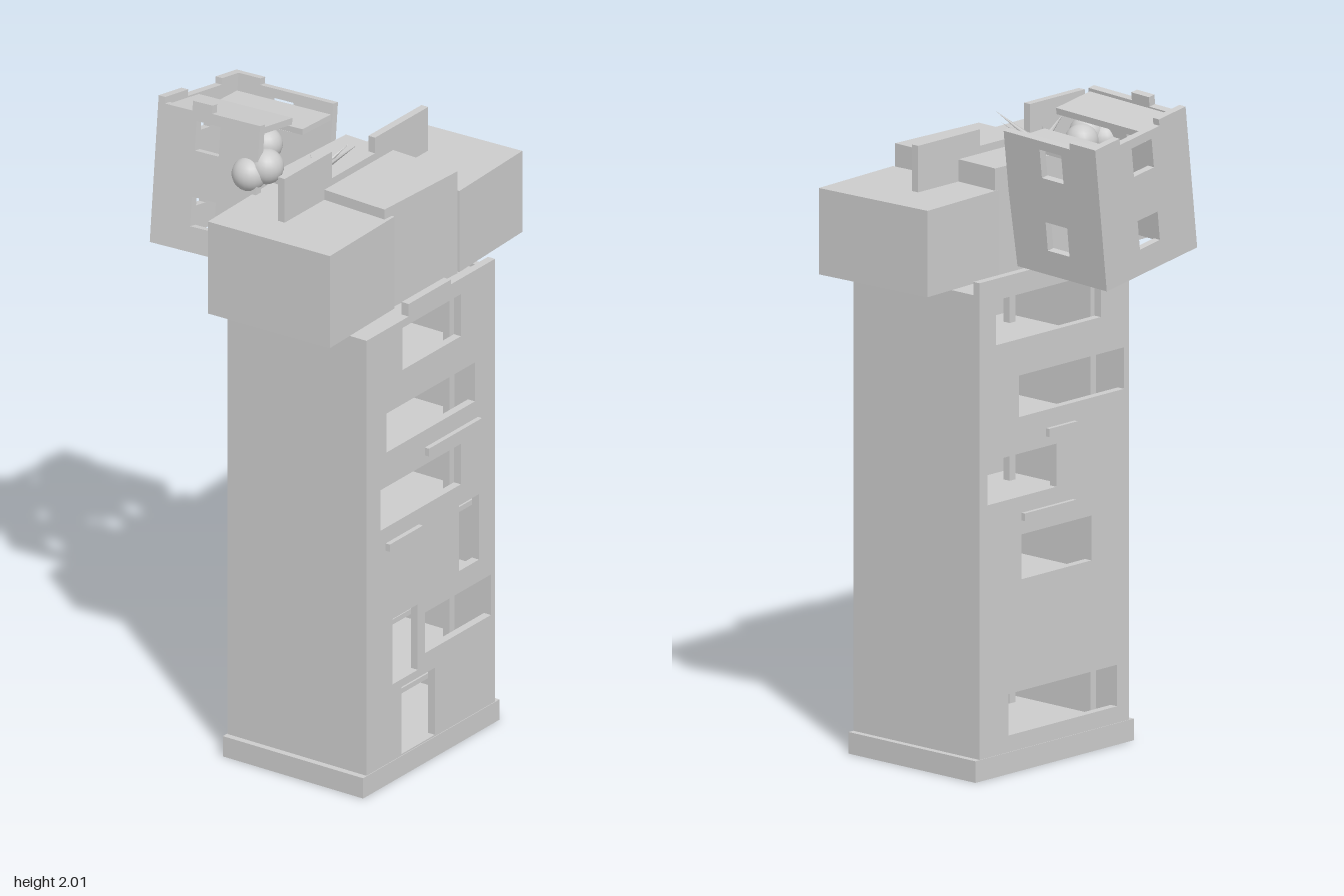
import * as THREE from 'three';

export function createModel() {
  const model = new THREE.Group();
  const grey = new THREE.MeshStandardMaterial({ color: 0xcccccc });
  grey.name = 'plain grey';

  const add = (parent, name, geometry) => {
    const mesh = new THREE.Mesh(geometry, grey);
    mesh.name = name;
    parent.add(mesh);
    return mesh;
  };
  // Box given by its limits on each axis
  const box = (parent, name, x0, x1, y0, y1, z0, z1) => {
    const mesh = add(parent, name, new THREE.BoxGeometry(x1 - x0, y1 - y0, z1 - z0));
    mesh.position.set((x0 + x1) / 2, (y0 + y1) / 2, (z0 + z1) / 2);
    return mesh;
  };
  // Flat wall from an outline, with rectangular openings [x0, x1, y0, y1]
  const wall = (parent, name, outline, openings, thickness) => {
    const shape = new THREE.Shape(outline.map(([x, y]) => new THREE.Vector2(x, y)));
    for (const [x0, x1, y0, y1] of openings) {
      shape.holes.push(new THREE.Path([
        new THREE.Vector2(x0, y0), new THREE.Vector2(x0, y1),
        new THREE.Vector2(x1, y1), new THREE.Vector2(x1, y0)]));
    }
    return add(parent, name, new THREE.ExtrudeGeometry(shape, { depth: thickness, bevelEnabled: false }));
  };

  // Tower shell with staggered windows
  const tower = new THREE.Group();
  tower.name = 'tower';
  model.add(tower);
  wall(tower, 'frontWall',
    [[-0.34, 0], [0.3, 0], [0.3, 1.485], [0.08, 1.485], [0.08, 1.5], [-0.13, 1.5], [-0.13, 1.46], [-0.34, 1.46]],
    [[-0.16, 0.13, 1.3, 1.435], [-0.24, 0.2, 1.065, 1.19], [-0.27, 0.13, 0.825, 0.955],
      [0.12, 0.22, 0.55, 0.76], [-0.21, -0.085, 0.31, 0.52], [-0.05, 0.28, 0.35, 0.48],
      [-0.165, 0, 0.07, 0.285]], 0.025).position.z = 0.38;
  wall(tower, 'backWall',
    [[-0.34, 0], [0.3, 0], [0.3, 1.5], [-0.05, 1.5], [-0.05, 1.46], [-0.34, 1.46]],
    [[-0.22, 0.23, 1.3, 1.435], [-0.32, 0.13, 1.065, 1.19], [-0.03, 0.265, 0.825, 0.955],
      [-0.18, 0.12, 0.575, 0.71], [-0.29, 0.175, 0.115, 0.24]], 0.025).position.z = -0.095;
  box(tower, 'leftWall', 0.28, 0.3, 0, 1.46, -0.07, 0.38);
  box(tower, 'rightWall', -0.34, -0.32, 0, 1.46, -0.07, 0.38);
  box(tower, 'plinth', -0.36, 0.32, 0, 0.065, -0.097, 0.407);
  for (let i = 1; i <= 6; i++) {
    const y = 0.015 + i * 0.2375;
    box(tower, 'floorSlab', -0.32, 0.28, y - 0.008, y + 0.008, -0.07, 0.38);
  }
  for (const x of [-0.255, 0.215]) {
    for (const z of [-0.02, 0.3]) box(tower, 'innerPost', x - 0.012, x + 0.012, 0.05, 1.46, z - 0.012, z + 0.012);
  }

  // Thin ledges on the front and back
  box(tower, 'frontLedge', -0.05, 0.215, 0.985, 1.01, 0.4, 0.42);
  box(tower, 'frontLedge', -0.245, -0.08, 0.752, 0.775, 0.4, 0.42);
  box(tower, 'backLedge', -0.107, 0.015, 0.985, 1.01, -0.108, -0.09);
  box(tower, 'backLedge', -0.1, 0.12, 0.752, 0.775, -0.108, -0.09);

  // Three slightly turned blocks on top: x, width, depth, top, turn
  for (const [x, w, d, top, turn] of [
    [-0.326, 0.335, 0.43, 1.78, 0.028], [-0.007, 0.342, 0.415, 1.812, -0.046], [0.322, 0.335, 0.415, 1.745, 0.046]]) {
    box(model, 'upperBlock', x - w / 2, x + w / 2, 1.485, top, 0.16 - d / 2, 0.16 + d / 2).rotation.y = turn;
  }

  // Upright board in three heights
  box(model, 'boardRight', -0.375, -0.14, 1.7, 1.92, 0.112, 0.136);
  box(model, 'boardMiddle', -0.14, 0.075, 1.7, 1.835, 0.112, 0.136);
  box(model, 'boardLeft', 0.075, 0.34, 1.7, 1.885, 0.112, 0.136);

  // Spiky plant
  const root = new THREE.Vector3(-0.12, 1.81, 0.05);
  const up = new THREE.Vector3(0, 1, 0);
  for (const tip of [[-0.245, 1.88, 0.075], [-0.01, 1.89, 0.105], [-0.04, 1.91, 0.155], [-0.115, 1.88, 0.04]]) {
    const dir = new THREE.Vector3(...tip).sub(root);
    const length = dir.length();
    const leaf = add(model, 'plantSpike', new THREE.ConeGeometry(0.012, length, 6).translate(0, length / 2, 0));
    leaf.position.copy(root);
    leaf.quaternion.setFromUnitVectors(up, dir.normalize());
  }

  // Round bushes beside and inside the leaning house
  for (const [x, y, z, r] of [[-0.21, 1.85, -0.05, 0.053], [-0.245, 1.83, -0.085, 0.052], [-0.1, 1.86, -0.13, 0.05]]) {
    add(model, 'bush', new THREE.SphereGeometry(r, 20, 14)).position.set(x, y, z);
  }

  // Leaning house, open below and at the front
  const house = new THREE.Group();
  house.name = 'leaningHouse';
  house.position.set(-0.078, 1.735, -0.225);
  house.rotation.set(-0.04, 0, -0.155);
  model.add(house);
  const W = 0.195, H = 0.213, D = 0.183, T = 0.024;
  const windows = [[-0.043, 0.043, 0.095, 0.185], [-0.043, 0.043, -0.135, -0.045]];
  wall(house, 'houseBackWall',
    [[-W, -H], [W, -H], [W, H + 0.02], [0.09, H + 0.02], [0.09, H], [-0.08, H], [-0.08, H + 0.02], [-W, H + 0.02]],
    windows, T).position.z = -D;
  for (const side of [-1, 1]) {
    const outline = side < 0
      ? [[-D, -H], [D, -H], [D, H + 0.005], [0.01, H + 0.005], [0.01, H + 0.03], [-0.06, H + 0.03], [-0.06, H], [-D, H]]
      : [[-D, -H], [D, -H], [D, H], [-0.08, H], [-0.08, H + 0.02], [-D, H + 0.02]];
    const w = wall(house, side < 0 ? 'houseRightWall' : 'houseLeftWall', outline, windows, T);
    w.rotation.y = -Math.PI / 2;
    w.position.x = side < 0 ? -W + T : W;
  }
  // Roof panels with a gap between them
  box(house, 'roofPanel', -W + T, -0.025, H - 0.025, H - 0.005, -D + T, D - 0.005);
  const lower = box(house, 'loweredRoofPanel', 0.03, W - T, H - 0.06, H - 0.042, -D + T, D - 0.005);
  lower.rotation.z = 0.12;

  return model;
}
